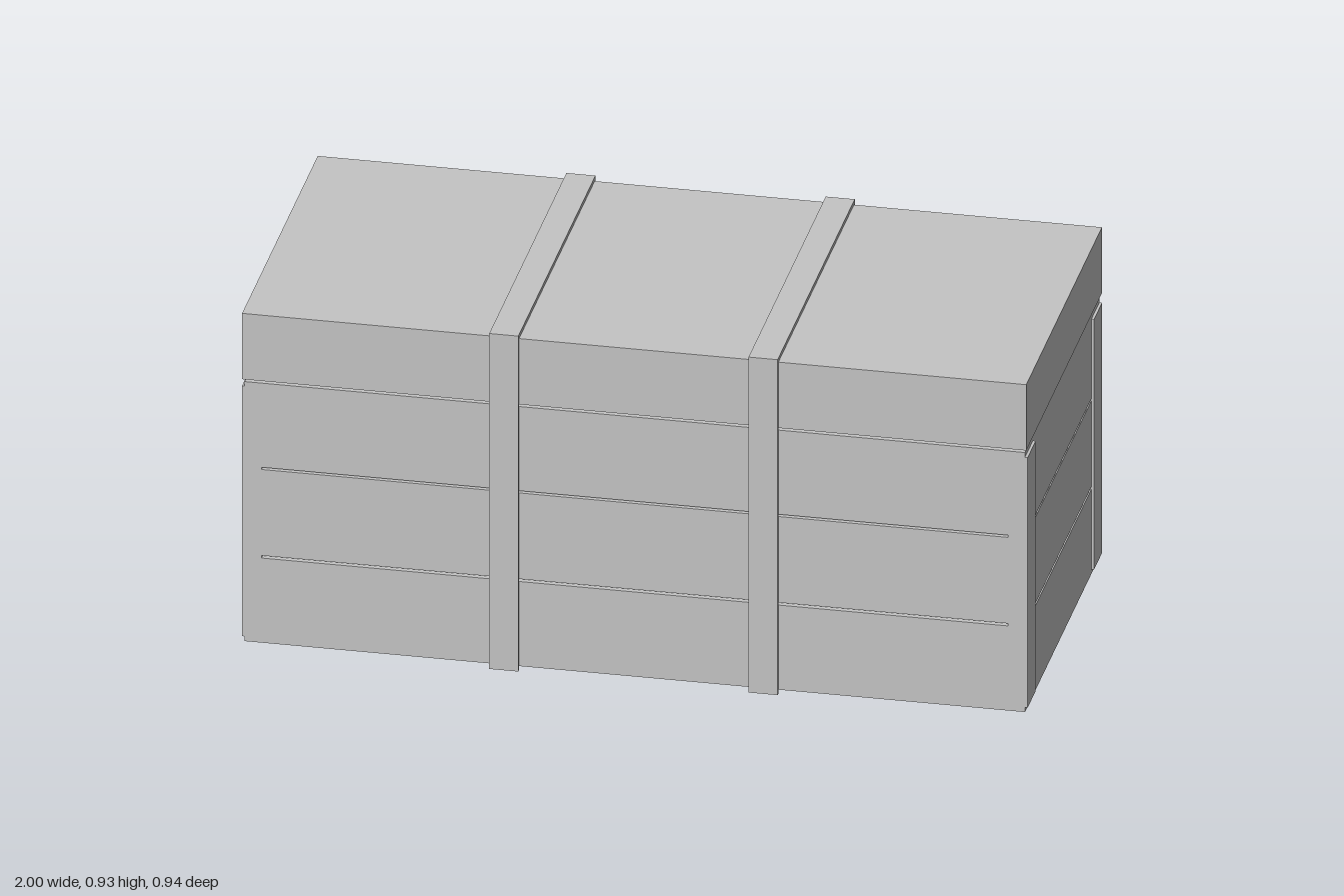
import * as THREE from 'three';

export function createModel() {
  const model = new THREE.Group();
  model.name = 'chest';
  const grey = new THREE.MeshStandardMaterial({ color: 0xc4c4c4 });
  grey.name = 'grey';

  // Box given by its low and high limits on each axis
  function block(name, [x0, x1], [y0, y1], [z0, z1], parent = model) {
    const mesh = new THREE.Mesh(new THREE.BoxGeometry(x1 - x0, y1 - y0, z1 - z0), grey);
    mesh.name = name;
    mesh.position.set((x0 + x1) / 2, (y0 + y1) / 2, (z0 + z1) / 2);
    parent.add(mesh);
    return mesh;
  }

  const front = 0.455, back = -0.45, side = 0.993, wall = 0.04;

  // Three courses of boards with narrow gaps between them
  const courses = [[0.007, 0.241], [0.248, 0.486], [0.492, 0.725]];
  for (const y of courses) {
    const course = new THREE.Group();
    course.name = 'boardCourse';
    model.add(course);
    block('frontBoard', [-side, side], y, [front - wall, front], course);
    block('backBoard', [-side, side], y, [back, back + wall], course);
    block('leftBoard', [side - wall, side], y, [back + wall, front - wall], course);
    block('rightBoard', [-side, wall - side], y, [back + wall, front - wall], course);
  }

  // Floor panel, set between the boards
  block('floor', [-0.953, 0.953], [0.004, 0.04], [back + wall, front - wall]);

  // Corner battens on both ends
  for (const s of [-1, 1]) {
    const x = s > 0 ? [0.95, 1] : [-1, -0.95];
    block('frontCornerBatten', x, [0.02, 0.712], [0.358, front]);
    block('backCornerBatten', x, [0.02, 0.712], [back, -0.353]);
  }

  // Lid, slightly raised above the body
  block('lid', [-0.998, 0.998], [0.735, 0.917], [-0.458, 0.463]);

  // Two straps over the front, top and back
  for (const s of [-1, 1]) {
    const strap = new THREE.Group();
    strap.name = 'strap';
    strap.position.x = s * 0.33;
    model.add(strap);
    const w = [-0.037, 0.037];
    block('strapFront', w, [0, 0.92], [0.463, 0.472], strap);
    block('strapBack', w, [0, 0.92], [-0.467, -0.458], strap);
    block('strapTop', w, [0.917, 0.928], [-0.467, 0.472], strap);
  }

  // Latch plate on the back
  block('latchPlate', [-0.073, 0.073], [0.605, 0.787], [-0.472, -0.459]);

  return model;
}
